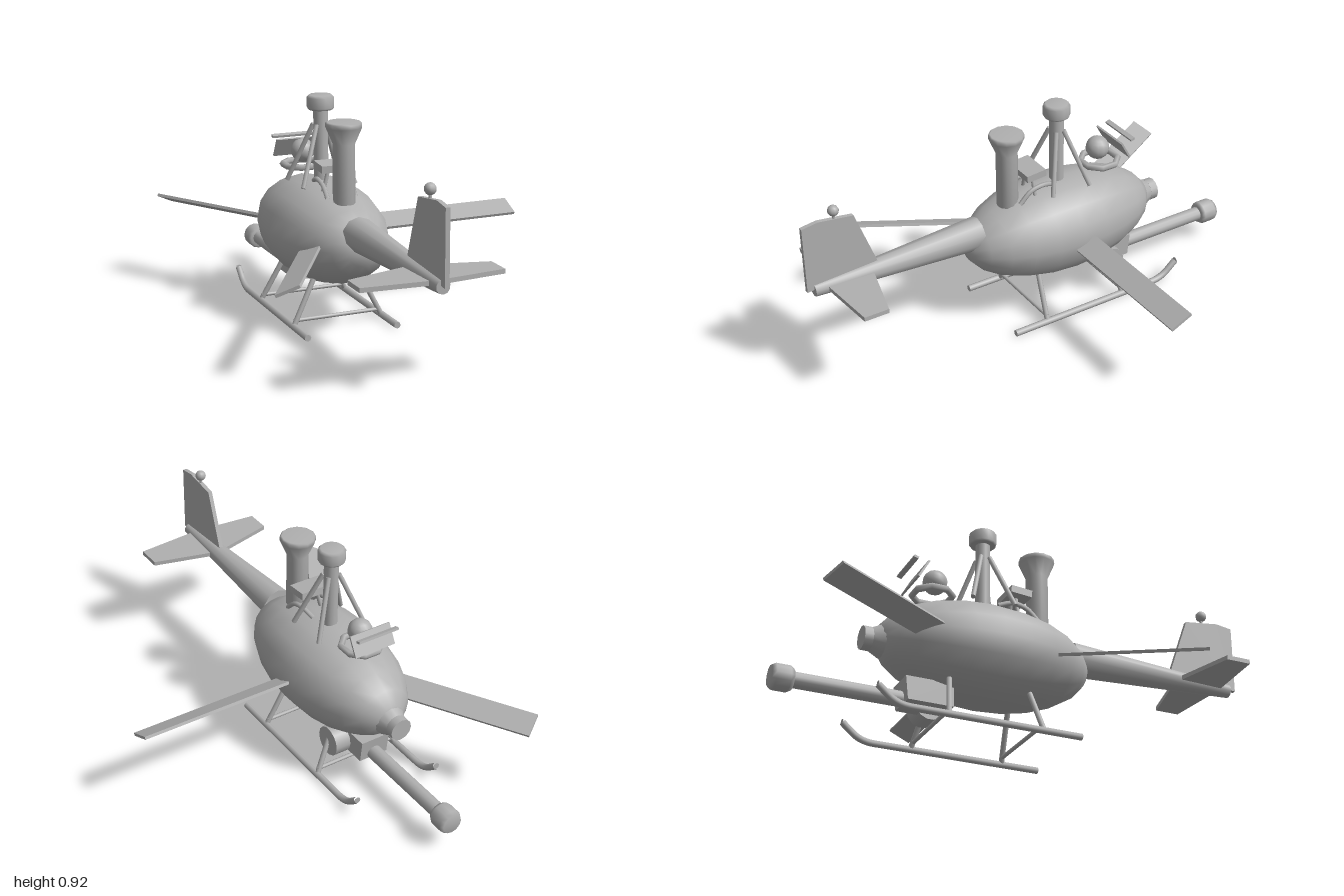
import * as THREE from 'three';

export function createModel() {
  const root = new THREE.Group();
  const grey = new THREE.MeshStandardMaterial({ color: 0xb0b0b0 });
  grey.name = 'plain grey';

  // Everything hangs on the craft's centreline, which sits left of the rotor span's middle
  const craft = new THREE.Group();
  craft.name = 'rotorcraft';
  craft.position.x = -0.2;
  root.add(craft);

  const add = (name, geometry, x = 0, y = 0, z = 0, parent = craft) => {
    const mesh = new THREE.Mesh(geometry, grey);
    mesh.name = name;
    mesh.position.set(x, y, z);
    parent.add(mesh);
    return mesh;
  };
  // Round bar from a to b
  const rod = (name, a, b, r0, r1 = r0, sides = 10) => {
    const start = new THREE.Vector3(...a), end = new THREE.Vector3(...b);
    const dir = end.clone().sub(start);
    const mesh = add(name, new THREE.CylinderGeometry(r1, r0, dir.length(), sides));
    mesh.position.copy(start).addScaledVector(dir, 0.5);
    mesh.quaternion.setFromUnitVectors(new THREE.Vector3(0, 1, 0), dir.normalize());
    return mesh;
  };
  // Flat plate cut from an outline
  const plate = (points, depth) => new THREE.ExtrudeGeometry(
    new THREE.Shape(points.map(p => new THREE.Vector2(...p))),
    { depth, bevelEnabled: false }).translate(0, 0, -depth / 2);

  // Hull with nose collar
  add('hull', new THREE.SphereGeometry(1, 16, 12).rotateX(Math.PI / 2).scale(0.232, 0.208, 0.446), 0, 0.366, -0.155);
  rod('noseCollar', [0, 0.352, -0.575], [0, 0.352, -0.625], 0.068, 0.044, 12);
  rod('noseCap', [0, 0.352, -0.62], [0, 0.352, -0.655], 0.047, 0.047, 12);

  // Tail boom, fin and tailplane
  rod('tailBoom', [0, 0.432, 0.23], [0, 0.428, 0.97], 0.07, 0.028, 10);
  add('tailFin', plate([[1, 0.43], [1, 0.72], [0.93, 0.73], [0.78, 0.71], [0.69, 0.46]], 0.018).rotateY(-Math.PI / 2));
  add('tailplane', plate([[-0.285, 0.79], [0, 0.715], [0.285, 0.79], [0.285, 0.895], [0, 0.92], [-0.285, 0.895]], 0.018)
    .rotateX(Math.PI / 2), 0, 0.43, 0);
  rod('beaconStem', [0, 0.71, 0.86], [0, 0.75, 0.86], 0.006);
  add('beacon', new THREE.SphereGeometry(0.023, 10, 8), 0, 0.755, 0.86);

  // Three pitched blades around the hull
  for (let i = 0; i < 3; i++) {
    const arm = new THREE.Group();
    arm.name = 'bladeArm';
    arm.position.set(0, 0.363, -0.157);
    arm.rotation.y = i * Math.PI * 2 / 3;
    craft.add(arm);
    add('blade', new THREE.BoxGeometry(0.78, 0.012, 0.1), 0.49, 0, 0, arm).rotation.x = 0.43;
  }

  // Flared funnel
  const funnel = [[0, 0.5], [0.045, 0.5], [0.045, 0.765], [0.073, 0.83], [0.073, 0.847], [0.066, 0.852], [0, 0.852]]
    .map(p => new THREE.Vector2(...p));
  add('funnel', new THREE.LatheGeometry(funnel, 12), 0, 0, 0.085);

  // Braced mast
  rod('mast', [0, 0.54, -0.155], [0, 0.87, -0.155], 0.03, 0.03, 12);
  const cap = [[0, 0.86], [0.05, 0.86], [0.056, 0.868], [0.056, 0.91], [0.046, 0.92], [0, 0.92]]
    .map(p => new THREE.Vector2(...p));
  add('mastCap', new THREE.LatheGeometry(cap, 12), 0, 0, -0.155);
  for (const sx of [-1, 1]) for (const sz of [-1, 1]) {
    rod('mastBrace', [sx * 0.114, 0.56, -0.155 + sz * 0.09], [sx * 0.025, 0.8, -0.155 + sz * 0.018], 0.01, 0.01, 8);
  }

  // Small box and pipes between funnel and mast
  add('deckBox', new THREE.BoxGeometry(0.14, 0.03, 0.09), 0, 0.655, -0.015).rotation.x = 0.08;
  for (const s of [-1, 1]) {
    rod('deckBoxLeg', [s * 0.05, 0.54, -0.02], [s * 0.02, 0.65, -0.02], 0.008);
    const bend = new THREE.CatmullRomCurve3([[0.06, 0.54, 0.06], [0.06, 0.585, 0.01], [0.06, 0.598, -0.05], [0.05, 0.58, -0.11]]
      .map(([x, y, z]) => new THREE.Vector3(s * x, y, z)));
    add('deckPipe', new THREE.TubeGeometry(bend, 10, 0.01, 6));
  }

  // Sensor ball, ring and screens
  add('sensorBall', new THREE.SphereGeometry(0.05, 12, 10), 0, 0.65, -0.36);
  add('sensorRing', new THREE.TorusGeometry(0.08, 0.014, 6, 8).rotateX(Math.PI / 2).rotateY(Math.PI / 8), 0, 0.59, -0.37);
  add('screen', new THREE.BoxGeometry(0.185, 0.088, 0.008), 0, 0.652, -0.442).rotation.x = 0.51;
  add('screenVisor', new THREE.BoxGeometry(0.185, 0.01, 0.02), 0, 0.695, -0.475).rotation.x = 0.3;

  // Landing skids
  for (const s of [-1, 1]) {
    const x = s * 0.194;
    const run = new THREE.CurvePath();
    const v = (y, z) => new THREE.Vector3(x, y, z);
    run.add(new THREE.LineCurve3(v(0.014, 0.17), v(0.014, -0.52)));
    run.add(new THREE.QuadraticBezierCurve3(v(0.014, -0.52), v(0.014, -0.575), v(0.045, -0.61)));
    run.add(new THREE.LineCurve3(v(0.045, -0.61), v(0.08, -0.65)));
    const skid = add('skid', new THREE.TubeGeometry(run, 48, 0.014, 8));
    skid.material = grey;
    for (const [z, y, end] of [[0.17, 0.014, 0.172], [-0.65, 0.08, -0.652]]) {
      rod('skidEnd', [x, y, z], [x, y, end], 0.014, 0.014, 8);
    }
    rod('rearStrut', [s * 0.1, 0.2, 0], [s * 0.19, 0.02, 0.014], 0.011);
    rod('frontStrut', [s * 0.1, 0.2, -0.335], [s * 0.19, 0.02, -0.37], 0.011);
  }
  for (const z of [0.012, -0.366]) rod('skidCrossbar', [-0.19, 0.038, z], [0.19, 0.038, z], 0.008);

  // Under-slung barrel with housing and side drum
  add('barrelHousing', plate([[-0.3, 0.105], [-0.485, 0.105], [-0.495, 0.2], [-0.3, 0.2]].reverse(), 0.13).rotateY(-Math.PI / 2));
  rod('sideDrum', [0.04, 0.147, -0.352], [0.132, 0.147, -0.352], 0.063, 0.063, 14);
  rod('barrel', [0, 0.128, -0.46], [0, 0.128, -0.93], 0.031, 0.031, 12);
  const muzzle = [[0, -1], [0.042, -1], [0.051, -0.985], [0.051, -0.93], [0.042, -0.915], [0, -0.915]]
    .map(p => new THREE.Vector2(...p));
  add('muzzle', new THREE.LatheGeometry(muzzle, 12).rotateX(Math.PI / 2), 0, 0.128, 0);

  return root;
}
